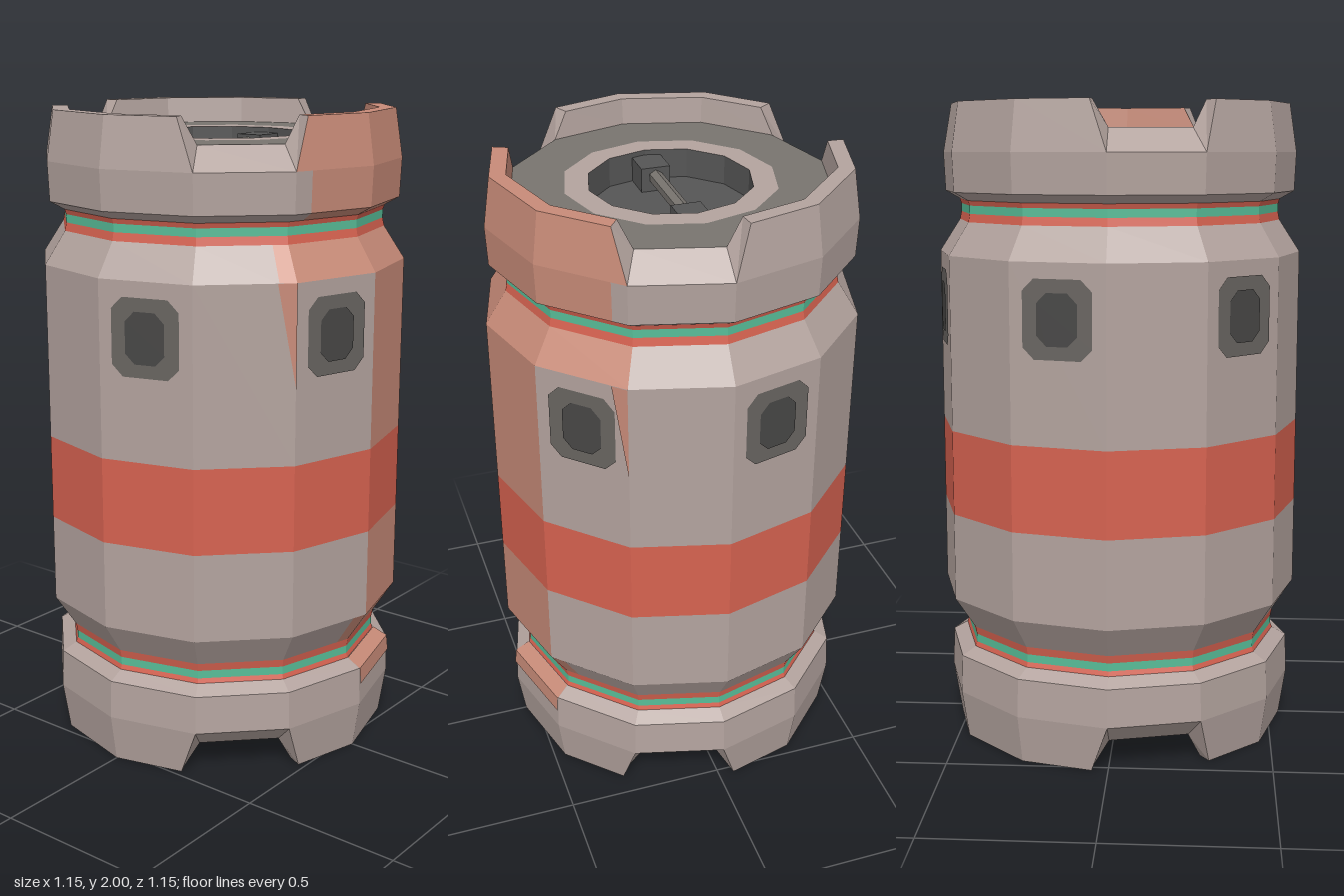
import * as THREE from 'three';

const COLORS = {
  shell: 0xb3a39e, red: 0xd66250, salmon: 0xc88b78, green: 0x58bd98, lidGray: 0x78746f,
  darkMetal: 0x555555, windowFrame: 0x696561, windowCore: 0x484746, darkRed: 0x7d4036,
};
const RAD = Math.PI / 180;

// Point on a twelve-sided ring; corners lie at multiples of 30 degrees, +x to +z
function P(a, r, y) {
  const inSector = ((a % 30) + 30) % 30;
  const k = r * Math.cos(15 * RAD) / Math.cos((inSector - 15) * RAD);
  return [k * Math.cos(a * RAD), y, k * Math.sin(a * RAD)];
}

// Angles from a to b, with every ring corner in between
function arc(a, b) {
  const out = [a];
  for (let c = Math.floor(a / 30) * 30 + 30; c < b; c += 30) out.push(c);
  out.push(b);
  return out;
}

export function createModel() {
  const model = new THREE.Group();
  model.name = 'barrel';
  const mats = {};
  for (const [name, color] of Object.entries(COLORS)) {
    mats[name] = new THREE.MeshStandardMaterial({ color });
    mats[name].name = name;
  }
  const add = (name, mat, geo) => {
    const mesh = new THREE.Mesh(geo, mats[mat]);
    mesh.name = name;
    model.add(mesh);
    return mesh;
  };

  // Flat faces from a list of corner loops; flip mirrors top to bottom
  function faces(name, mat, polys, flip = false) {
    const pos = [];
    for (const poly of polys) {
      const q = flip ? poly.map(([x, y, z]) => [x, 2 - y, z]).reverse() : poly;
      for (let i = 1; i < q.length - 1; i++) pos.push(...q[0], ...q[i], ...q[i + 1]);
    }
    const geo = new THREE.BufferGeometry();
    geo.setAttribute('position', new THREE.Float32BufferAttribute(pos, 3));
    geo.computeVertexNormals();
    return add(name, mat, geo);
  }

  // Sweep a profile of [radius, height] points over an arc
  function band(name, mat, profile, from = 0, to = 360, flip = false) {
    const angles = arc(from, to), polys = [];
    for (let i = 0; i < angles.length - 1; i++) {
      const a = angles[i], b = angles[i + 1];
      for (let j = 0; j < profile.length - 1; j++) {
        const [r0, y0] = profile[j], [r1, y1] = profile[j + 1];
        polys.push([P(a, r0, y0), P(a, r1, y1), P(b, r1, y1), P(b, r0, y0)]);
      }
    }
    return faces(name, mat, polys, flip);
  }

  // Body with its red stripe and one worn column
  band('bodyLower', 'shell', [[0.575, 0.46], [0.575, 0.735]], 0, 330);
  band('bodyUpper', 'shell', [[0.575, 1.0], [0.575, 1.54]], 0, 330);
  band('wornColumnLower', 'salmon', [[0.575, 0.46], [0.575, 0.735]], 330, 360);
  band('wornColumnUpper', 'salmon', [[0.575, 1.0], [0.575, 1.54]], 330, 360);
  band('redStripe', 'red', [[0.575, 0.735], [0.575, 1.0]]);
  band('shoulderUpper', 'shell', [[0.575, 1.54], [0.51, 1.64]], 35, 300);
  band('wornShoulderUpper', 'salmon', [[0.575, 1.54], [0.51, 1.64]], 300, 395);
  band('shoulderLower', 'shell', [[0.51, 0.36], [0.575, 0.46]], 5, 325);
  band('wornShoulderLower', 'salmon', [[0.51, 0.36], [0.575, 0.46]], 325, 365);

  // Tapering wear marks under the upper shoulder
  faces('wearMarkFront', 'salmon', [[P(30, 0.578, 1.23), P(30, 0.578, 1.54), P(35.5, 0.578, 1.54)]]);
  faces('wearMarkBack', 'salmon', [[P(300, 0.578, 1.54), P(305, 0.578, 1.54), P(300, 0.578, 1.25)]]);

  // Small windows on every other side
  const plate = (w, h, r) => {
    const s = new THREE.Shape(), x = w / 2, y = h / 2;
    s.moveTo(-x + r, -y).lineTo(x - r, -y).lineTo(x, -y + r).lineTo(x, y - r);
    s.lineTo(x - r, y).lineTo(-x + r, y).lineTo(-x, y - r).lineTo(-x, -y + r);
    return new THREE.ShapeGeometry(s);
  };
  const apothem = 0.575 * Math.cos(15 * RAD);
  for (let a = 15; a < 360; a += 60) {
    for (const [name, mat, w, h, r, lift] of [
      ['windowFrame', 'windowFrame', 0.215, 0.235, 0.035, 0.003],
      ['windowCore', 'windowCore', 0.125, 0.155, 0.03, 0.006]]) {
      const mesh = add(name, mat, plate(w, h, r));
      const d = apothem + lift;
      mesh.position.set(d * Math.cos(a * RAD), 1.375, d * Math.sin(a * RAD));
      mesh.rotation.y = (90 - a) * RAD;
    }
  }

  // Necks and notched end caps, the bottom mirroring the top
  for (const flip of [false, true]) {
    const end = flip ? 'bottom' : 'top';
    band(end + 'Neck', 'red', [[0.51, 1.64], [0.505, 1.665]], 0, 360, flip);
    band(end + 'NeckGreen', 'green', [[0.505, 1.665], [0.505, 1.69]], 0, 360, flip);
    band(end + 'NeckEdge', 'red', [[0.505, 1.69], [0.51, 1.705]], 0, 360, flip);
    const collar = [[0.51, 1.705], [0.555, 1.73], [0.56, 1.85]];
    if (flip) band('bottomCollar', 'shell', collar, 0, 360, true);
    else {
      band('topCollar', 'shell', collar, 24, 305);
      band('wornTopCollar', 'salmon', collar, 305, 384);
    }
    for (let n = 0; n < 3; n++) {
      const start = 60 + n * 120;
      // Raised rim segment with sloping ends
      const foot = [start, start + 30, start + 60, start + 90];
      const top = [start + 5.5, start + 30, start + 60, start + 84.5];
      const section = i => [P(foot[i], 0.56, 1.85), P(top[i], 0.537, 2),
        P(top[i], 0.487, 2), P(foot[i], 0.48, 1.92)];
      const polys = [];
      for (let i = 0; i < 3; i++) {
        const s = section(i), t = section(i + 1);
        for (let j = 0; j < 3; j++) polys.push([s[j], s[j + 1], t[j + 1], t[j]]);
      }
      faces(end + 'Rim', !flip && n === 2 ? 'salmon' : 'shell', polys, flip);
      faces(end + 'RimEnds', 'shell', [section(0).reverse(), section(3)], flip);
      band(end + 'NotchFloor', 'shell', [[0.56, 1.85], [0.48, 1.92]], start - 30, start, flip);
    }
  }
  band('wornPatchBottomCollar', 'salmon', [[0.563, 0.22], [0.558, 0.27], [0.513, 0.297]], 330, 360);

  // Lid with a recessed well
  band('lid', 'lidGray', [[0.48, 1.92], [0.32, 1.92]]);
  band('lidRing', 'shell', [[0.32, 1.92], [0.247, 1.92]]);
  band('wellWall', 'darkMetal', [[0.247, 1.92], [0.247, 1.83]]);
  band('wellFloor', 'darkMetal', [[0.247, 1.83], [0, 1.83]]);

  // Handle across the well
  for (const side of [-1, 1]) {
    const block = add('handleMount', 'darkMetal', new THREE.BoxGeometry(0.09, 0.075, 0.105));
    block.position.set(0, 1.867, side * 0.192);
  }
  const bar = new THREE.CylinderGeometry(0.022, 0.022, 0.3, 6).toNonIndexed();
  bar.computeVertexNormals();
  const handle = add('handleBar', 'lidGray', bar);
  handle.rotation.x = Math.PI / 2;
  handle.position.y = 1.875;

  // Underside with a stepped nozzle
  band('baseRing', 'lidGray', [[0.48, 1.92], [0.41, 1.92], [0.4, 1.87], [0.34, 1.84]], 0, 360, true);
  band('nozzleOuter', 'red', [[0.34, 1.84], [0.22, 1.83]], 0, 360, true);
  band('nozzleInner', 'darkRed', [[0.22, 1.83], [0.13, 1.825]], 0, 360, true);
  band('nozzleCore', 'windowCore', [[0.13, 1.825], [0, 1.82]], 0, 360, true);
  return model;
}
